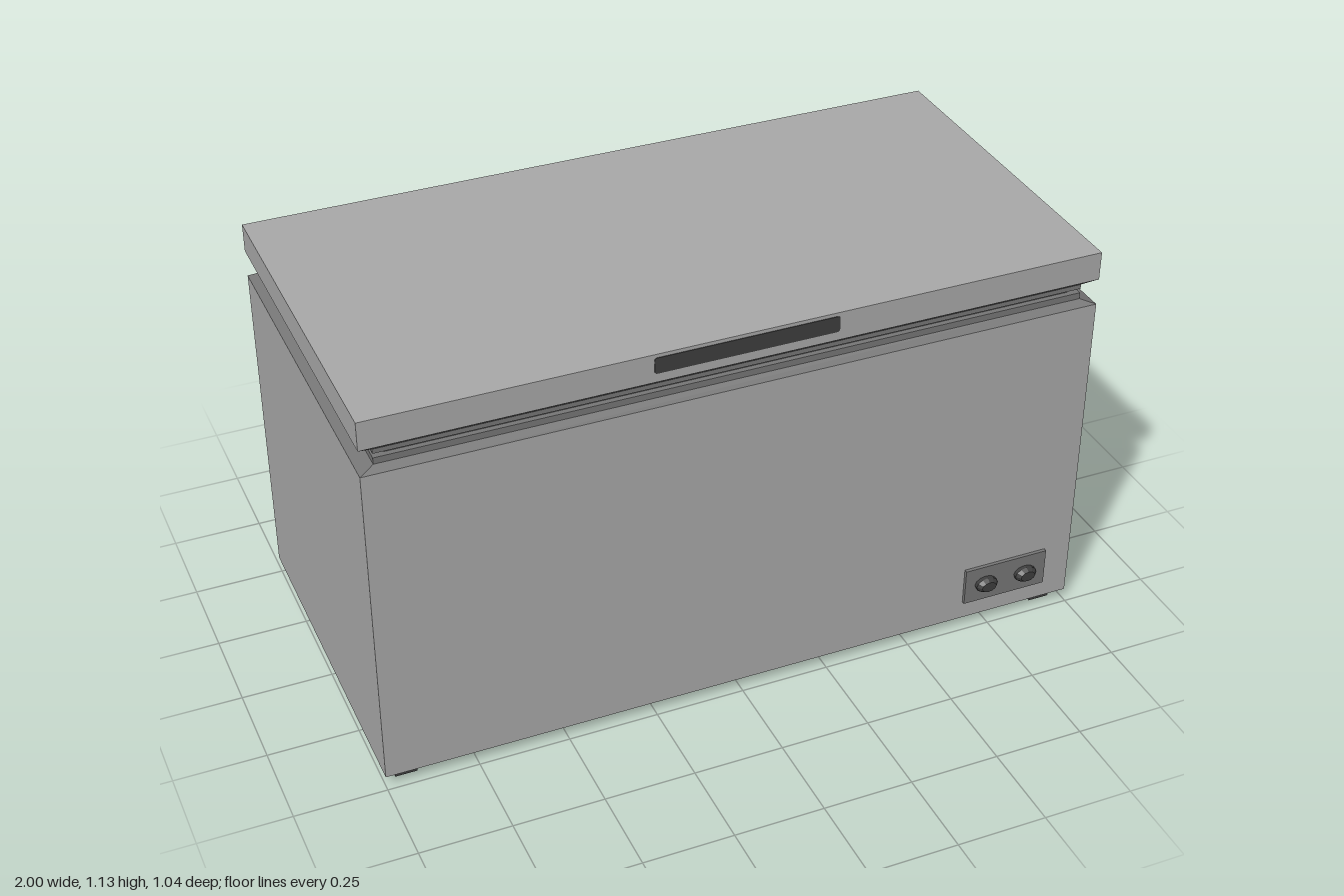
import * as THREE from 'three';

const material = (name, color) => {
  const m = new THREE.MeshStandardMaterial({ color });
  m.name = name;
  return m;
};

export function createModel() {
  const grey = material('cabinet grey', 0xa8a8a8);
  const trim = material('trim grey', 0x767676);
  const dark = material('dark plastic', 0x3e3e3e);
  const model = new THREE.Group();
  model.name = 'chestFreezer';
  const HALF_X = 1, HALF_Z = 0.505, MID_Z = -0.015, FRONT = 0.49;

  const add = (name, geometry, mat, x, y, z, parent = model) => {
    const mesh = new THREE.Mesh(geometry, mat);
    mesh.name = name;
    mesh.position.set(x, y, z);
    parent.add(mesh);
    return mesh;
  };

  // Rectangular layer whose footprint is scaled at its bottom and top
  const layer = (name, y0, y1, s0, s1, mat) => {
    let g = new THREE.CylinderGeometry(s1 * Math.SQRT2, s0 * Math.SQRT2, y1 - y0, 4);
    g = g.rotateY(Math.PI / 4).scale(HALF_X, 1, HALF_Z).toNonIndexed();
    g.computeVertexNormals();
    add(name, g, mat, 0, (y0 + y1) / 2, MID_Z);
  };

  // Cabinet, stepped seal and lid
  layer('cabinet', 0.035, 0.975, 1, 1, grey);
  layer('rimSlope', 0.975, 0.99, 1, 0.96, trim);
  layer('rimBand', 0.99, 1.008, 0.96, 0.96, trim);
  layer('sealNeck', 1.008, 1.02, 0.93, 0.93, trim);
  layer('lidBand', 1.02, 1.033, 0.96, 0.96, trim);
  layer('lidSlope', 1.033, 1.05, 0.96, 1, trim);
  layer('lid', 1.05, 1.13, 1, 1, grey);

  // Flush grip with softened corners
  const w = 0.25, h = 0.0225, c = 0.008;
  const grip = new THREE.Shape();
  grip.moveTo(-w + c, -h);
  grip.lineTo(w - c, -h);
  grip.quadraticCurveTo(w, -h, w, -h + c);
  grip.lineTo(w, h - c);
  grip.quadraticCurveTo(w, h, w - c, h);
  grip.lineTo(-w + c, h);
  grip.quadraticCurveTo(-w, h, -w, h - c);
  grip.lineTo(-w, -h + c);
  grip.quadraticCurveTo(-w, -h, -w + c, -h);
  add('lidGrip', new THREE.ExtrudeGeometry(grip, { depth: 0.003, bevelEnabled: false, curveSegments: 4 }),
    dark, 0, 1.0975, FRONT - 0.001);

  // Control panel with two chamfered oval knobs
  const controls = new THREE.Group();
  controls.name = 'controls';
  model.add(controls);
  add('controlPanel', new THREE.BoxGeometry(0.25, 0.11, 0.01), trim, 0.795, 0.145, FRONT + 0.005, controls);
  const knobPart = (name, r0, r1, z0, z1, x) => {
    let g = new THREE.CylinderGeometry(r1, r0, z1 - z0, 12);
    g = g.rotateX(Math.PI / 2).scale(1, 0.7, 1).toNonIndexed();
    g.computeVertexNormals();
    add(name, g, dark, x, 0.145, (z0 + z1) / 2, controls);
  };
  for (const x of [0.733, 0.855]) {
    knobPart('knobBase', 0.033, 0.033, 0.499, 0.511, x);
    knobPart('knobCap', 0.033, 0.022, 0.511, 0.523, x);
  }

  // Four feet
  for (const x of [-0.937, 0.937]) {
    for (const z of [0.432, -0.462]) {
      add('foot', new THREE.BoxGeometry(0.06, 0.035, 0.055), dark, x, 0.0175, z);
    }
  }
  return model;
}
